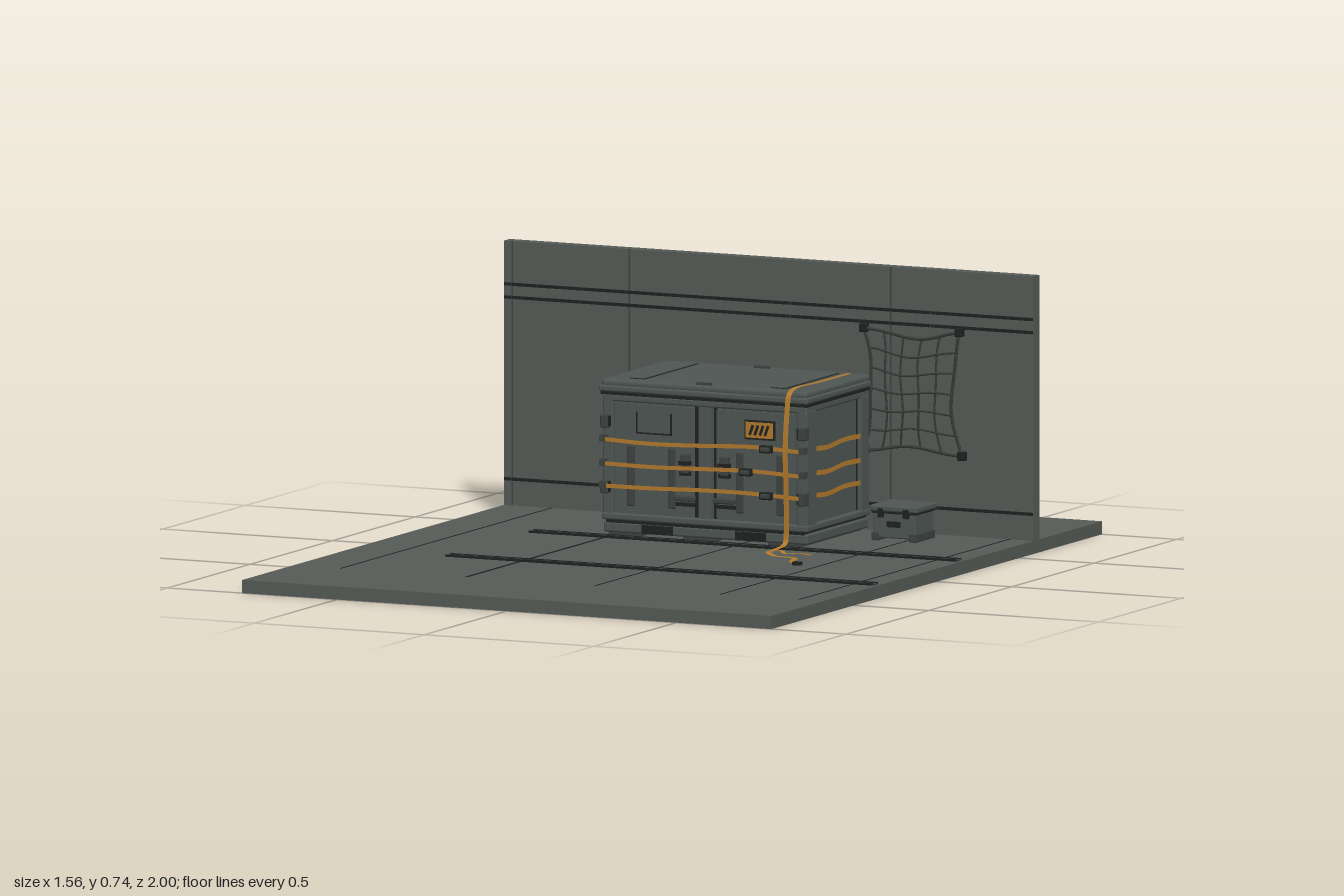
import * as THREE from 'three';
import { RoundedBoxGeometry } from 'three/addons/geometries/RoundedBoxGeometry.js';

const material = (name, color, side = THREE.FrontSide) => {
  const m = new THREE.MeshStandardMaterial({ color, side });
  m.name = name;
  return m;
};

export function createModel() {
  const panel = material('panel grey', 0x565b57);
  const shell = material('crate grey', 0x4e5653);
  const trim = material('trim grey', 0x3d4341);
  const black = material('seam black', 0x1f2221);
  const rope = material('net grey', 0x3a3d3a);
  const webbing = material('strap amber', 0xb27a2c, THREE.DoubleSide);

  const model = new THREE.Group();
  model.name = 'cargoBay';
  const group = (name) => {
    const g = new THREE.Group();
    g.name = name;
    model.add(g);
    return g;
  };
  const add = (parent, name, geometry, mat) => {
    const mesh = new THREE.Mesh(geometry, mat);
    mesh.name = name;
    parent.add(mesh);
    return mesh;
  };
  // Box given by its low and high limits on each axis
  const box = (parent, name, mat, x0, x1, y0, y1, z0, z1, bevel = 0) => {
    const s = [x1 - x0, y1 - y0, z1 - z0];
    const g = bevel ? new RoundedBoxGeometry(...s, 2, bevel) : new THREE.BoxGeometry(...s);
    const mesh = add(parent, name, g, mat);
    mesh.position.set((x0 + x1) / 2, (y0 + y1) / 2, (z0 + z1) / 2);
    return mesh;
  };
  // Flat band along a path; side is a fixed direction, or level and square to the path
  const ribbon = (parent, name, pts, width, side, steps = 40) => {
    const curve = new THREE.CatmullRomCurve3(pts.map((p) => new THREE.Vector3(...p)), false, 'centripetal');
    const pos = [], index = [];
    for (let i = 0; i <= steps; i++) {
      const p = curve.getPoint(i / steps), t = curve.getTangent(i / steps);
      const d = (side ? new THREE.Vector3(...side) : new THREE.Vector3(t.z, 0, -t.x).normalize()).multiplyScalar(width / 2);
      pos.push(p.x - d.x, p.y - d.y, p.z - d.z, p.x + d.x, p.y + d.y, p.z + d.z);
      if (i < steps) index.push(2 * i, 2 * i + 1, 2 * i + 2, 2 * i + 1, 2 * i + 3, 2 * i + 2);
    }
    const g = new THREE.BufferGeometry();
    g.setAttribute('position', new THREE.Float32BufferAttribute(pos, 3));
    g.setIndex(index);
    g.computeVertexNormals();
    return add(parent, name, g, webbing);
  };

  // Floor slab, its seams and two slotted tie-down rails
  const F = 0.035;
  const floor = group('floor');
  box(floor, 'floorSlab', panel, -0.78, 0.78, 0, F, -1, 1);
  for (const x of [-0.64, -0.27, 0.11, 0.48, 0.71]) {
    const w = x === -0.27 ? 0.004 : 0.002;
    box(floor, 'floorSeam', black, x - w, x + w, F - 0.002, F + 0.001, -0.69, 0.69);
  }
  for (const z of [-0.155, 0.35]) {
    box(floor, 'floorRail', trim, -0.49, 0.77, F, F + 0.004, z - 0.015, z + 0.015);
    for (const s of [-1, 1]) box(floor, 'railLip', black, -0.49, 0.77, F, F + 0.006, z + s * 0.014 - 0.002, z + s * 0.014 + 0.002);
    for (let i = 0; i < 30; i++) {
      const x = -0.47 + i * 0.042;
      box(floor, 'railSlot', black, x - 0.011, x + 0.011, F + 0.002, F + 0.005, z - 0.004, z + 0.004);
    }
  }

  // Rear wall with seams and horizontal strips
  const wall = group('wall');
  box(wall, 'wallPanel', panel, -0.78, 0.78, F, 0.742, -0.62, -0.585);
  for (const x of [-0.755, -0.41, 0.36]) box(wall, 'wallSeam', trim, x - 0.002, x + 0.002, F, 0.742, -0.586, -0.584);
  for (const y of [0.627, 0.592, 0.106]) {
    const ends = [-0.78, -0.756, 0.065, 0.477, 0.78];
    for (let i = 0; i < 4; i++) box(wall, 'wallStrip', black, ends[i] + 0.002, ends[i + 1] - 0.002, y - 0.004, y + 0.004, -0.586, -0.58);
  }

  // Crate: skids, body, frame and lid
  const crate = group('crate');
  const B = -0.58, Z = -0.205;
  box(crate, 'base', shell, -0.3, 0.3, 0.042, 0.07, B + 0.005, -0.2, 0.006);
  for (const x of [-0.24, -0.02, 0.23]) box(crate, 'skid', trim, x - 0.05, x + 0.05, F, 0.046, B + 0.01, -0.21);
  for (const x of [-0.14, 0.135]) box(crate, 'forkPocket', black, x - 0.045, x + 0.045, 0.044, 0.067, B + 0.003, -0.196);
  box(crate, 'body', shell, -0.288, 0.288, 0.066, 0.41, -0.57, Z - 0.006);
  box(crate, 'lowerGap', black, -0.292, 0.292, 0.068, 0.076, -0.574, -0.201);
  box(crate, 'lowerFrame', shell, -0.303, 0.303, 0.076, 0.094, B, -0.195, 0.005);
  box(crate, 'upperFrame', shell, -0.3, 0.3, 0.393, 0.412, B, -0.198, 0.005);
  box(crate, 'lidSeal', black, -0.304, 0.304, 0.411, 0.421, B, -0.192);
  box(crate, 'lidRim', shell, -0.308, 0.308, 0.419, 0.437, -0.584, -0.186, 0.006);
  box(crate, 'lid', shell, -0.303, 0.303, 0.43, 0.453, -0.582, -0.19, 0.01);
  for (const x of [-0.21, 0.205]) {
    box(crate, 'lidRibEdge', black, x - 0.022, x + 0.022, 0.45, 0.4545, -0.547, -0.223);
    box(crate, 'lidRib', shell, x - 0.019, x + 0.019, 0.45, 0.459, -0.544, -0.226, 0.004);
  }
  for (const z of [-0.55, -0.2]) box(crate, 'lidHandle', trim, -0.025, 0.02, 0.451, 0.459, z - 0.004, z + 0.004);
  for (const s of [-1, 1]) {
    for (const [z0, z1] of [[-0.578, -0.525], [-0.258, -0.198]]) {
      const a = s * 0.27, b = s * 0.301;
      box(crate, 'cornerPost', shell, Math.min(a, b), Math.max(a, b), 0.08, 0.4, z0, z1, 0.005);
    }
    for (const z of [-0.523, -0.26]) box(crate, 'sidePanelSeam', black, s * 0.289 - 0.002, s * 0.289 + 0.002, 0.096, 0.392, z - 0.002, z + 0.002);

    // Front doors, mirrored about the centre post
    const mid = (name, mat, x, hw, y0, y1, z1, bevel) => box(crate, name, mat, s * x - hw, s * x + hw, y0, y1, Z - 0.008, z1, bevel);
    mid('door', shell, 0.147, 0.115, 0.1, 0.388, Z);
    mid('doorSeam', black, 0.028, 0.003, 0.096, 0.392, Z + 0.001);
    mid('doorRib', trim, 0.22, 0.011, 0.115, 0.278, Z + 0.005, 0.004);
    mid('doorRib', trim, 0.1, 0.011, 0.115, 0.278, Z + 0.005, 0.004);
    mid('latchPlate', black, 0.058, 0.016, 0.207, 0.218, Z + 0.012);
    mid('latchLever', trim, 0.058, 0.013, 0.212, 0.265, Z + 0.014, 0.004);
    mid('latchCatch', black, 0.058, 0.016, 0.236, 0.246, Z + 0.018);
    mid('doorHandle', trim, 0.058, 0.03, 0.138, 0.152, Z + 0.014, 0.004);
    mid('handleShadowGap', black, 0.058, 0.03, 0.124, 0.134, Z + 0.004);
    for (const y of [0.34, 0.165]) {
      mid('hinge', trim, 0.291, 0.011, y - 0.018, y + 0.018, Z + 0.022, 0.004);
      mid('hingePin', black, 0.28, 0.004, y - 0.014, y + 0.014, Z + 0.018);
    }
  }
  box(crate, 'centrePost', shell, -0.018, 0.018, 0.094, 0.394, Z - 0.008, Z + 0.004);
  // Document holder outline on the left-hand door as seen
  box(crate, 'holderBottom', black, -0.205, -0.1, 0.31, 0.314, Z - 0.002, Z + 0.003);
  for (const x of [-0.205, -0.104]) box(crate, 'holderSide', black, x, x + 0.004, 0.31, 0.368, Z - 0.002, Z + 0.003);
  // Hazard plate with slanted bars
  box(crate, 'hazardBorder', black, 0.115, 0.205, 0.315, 0.367, Z - 0.002, Z + 0.004);
  box(crate, 'hazardPlate', webbing, 0.12, 0.2, 0.32, 0.362, Z, Z + 0.006);
  for (let i = 0; i < 4; i++) {
    const x = 0.137 + i * 0.015;
    box(crate, 'hazardBar', black, x - 0.0035, x + 0.0035, 0.327, 0.355, Z, Z + 0.008).rotation.z = -0.35;
  }

  // Straps around the crate, with ratchet buckles
  const straps = group('straps');
  [[0.295, 0.19], [0.23, 0.13], [0.17, 0.19]].forEach(([y, bx], k) => {
    const zf = -0.183, w = 0.003 * (k - 1);
    ribbon(straps, 'frontStrap', [[-0.302, y - 0.002, zf], [-0.15, y - 0.004 + w, zf], [0, y + w, zf], [0.15, y + 0.003, zf], [0.295, y - 0.003, zf]], 0.011, [0, 1, 0]);
    for (const s of [-1, 1]) {
      ribbon(straps, 'sideStrap', [[s * 0.304, y, -0.25], [s * 0.304, y - 0.004, -0.32], [s * 0.304, y + 0.003, -0.42], [s * 0.304, y, -0.515]], 0.013, [0, 1, 0]);
      box(straps, 'strapAnchor', trim, s * 0.294 - 0.008, s * 0.294 + 0.008, y - 0.009, y + 0.009, -0.2, -0.178);
    }
    box(straps, 'buckle', black, bx - 0.018, bx + 0.018, y - 0.01, y + 0.01, zf - 0.004, zf + 0.012, 0.003);
    box(straps, 'buckleLever', trim, bx - 0.012, bx + 0.014, y - 0.006, y + 0.006, zf + 0.008, zf + 0.02, 0.003);
  });
  ribbon(straps, 'lidStrap', [[0.26, 0.457, -0.54], [0.26, 0.457, -0.35], [0.259, 0.457, -0.2], [0.258, 0.445, -0.178], [0.257, 0.4, -0.168],
    [0.256, 0.3, -0.159], [0.257, 0.2, -0.162], [0.256, 0.1, -0.166], [0.255, 0.052, -0.163], [0.255, 0.044, -0.145]], 0.015, [1, 0, 0], 60);
  ribbon(straps, 'looseTail', [[0.255, 0.044, -0.15], [0.255, 0.04, -0.08], [0.264, 0.042, -0.04], [0.3, 0.039, -0.005], [0.355, 0.04, 0.01],
    [0.378, 0.042, 0.035], [0.39, 0.039, 0.075], [0.415, 0.04, 0.1]], 0.016);
  ribbon(straps, 'looseBranch', [[0.262, 0.041, -0.095], [0.285, 0.043, -0.075], [0.315, 0.04, -0.045], [0.345, 0.042, -0.06], [0.385, 0.04, -0.052]], 0.012);
  box(straps, 'tailHook', black, 0.407, 0.43, F, 0.044, 0.094, 0.11);

  // Small case beside the crate
  const small = group('smallCase');
  box(small, 'caseBody', shell, 0.39, 0.515, 0.042, 0.112, -0.525, -0.415, 0.004);
  box(small, 'caseSeam', black, 0.387, 0.518, 0.108, 0.114, -0.527, -0.413);
  box(small, 'caseLid', shell, 0.382, 0.523, 0.113, 0.13, -0.53, -0.41, 0.005);
  for (const x of [0.397, 0.508]) {
    box(small, 'caseCorner', trim, x - 0.011, x + 0.011, F, 0.058, -0.528, -0.411, 0.003);
  }
  for (const x of [0.415, 0.49]) box(small, 'caseLatch', black, x - 0.007, x + 0.007, 0.098, 0.122, -0.415, -0.404);
  box(small, 'caseHandle', black, 0.434, 0.471, 0.073, 0.088, -0.416, -0.407);

  // Sagging cargo net hung on the wall
  const net = group('cargoNet');
  const NX = 6, NY = 7;
  const knot = (u, v) => new THREE.Vector3(
    0.285 + 0.285 * u + 0.025 * Math.sin(Math.PI * v) * (1 - 2 * u) + 0.004 * Math.sin(9 * v + 5 * u),
    0.577 - 0.325 * v - 0.018 * Math.sin(Math.PI * u) * (1 - 1.6 * v) + 0.004 * Math.sin(8 * u + 4 * v),
    -0.574 + 0.016 * Math.sin(Math.PI * u) * Math.sin(Math.PI * v));
  const cord = (fn, r) => add(net, 'netCord', new THREE.TubeGeometry(
    new THREE.CatmullRomCurve3(Array.from({ length: 9 }, (_, i) => fn(i / 8))), 24, r, 5), rope);
  for (let i = 0; i < NX; i++) cord((t) => knot(i / (NX - 1), t), i % (NX - 1) ? 0.003 : 0.0045);
  for (let j = 0; j < NY; j++) cord((t) => knot(t, j / (NY - 1)), j % (NY - 1) ? 0.003 : 0.0045);
  const bead = new THREE.SphereGeometry(0.005, 6, 5);
  for (let i = 0; i < NX; i++) for (let j = 0; j < NY; j++) {
    add(net, 'netKnot', bead, rope).position.copy(knot(i / (NX - 1), j / (NY - 1)));
  }
  for (const u of [0, 1]) for (const v of [0, 1]) {
    const p = knot(u, v);
    box(net, 'netAnchor', black, p.x - 0.011, p.x + 0.011, p.y - 0.012, p.y + 0.012, -0.586, -0.566, 0.003);
  }
  return model;
}
